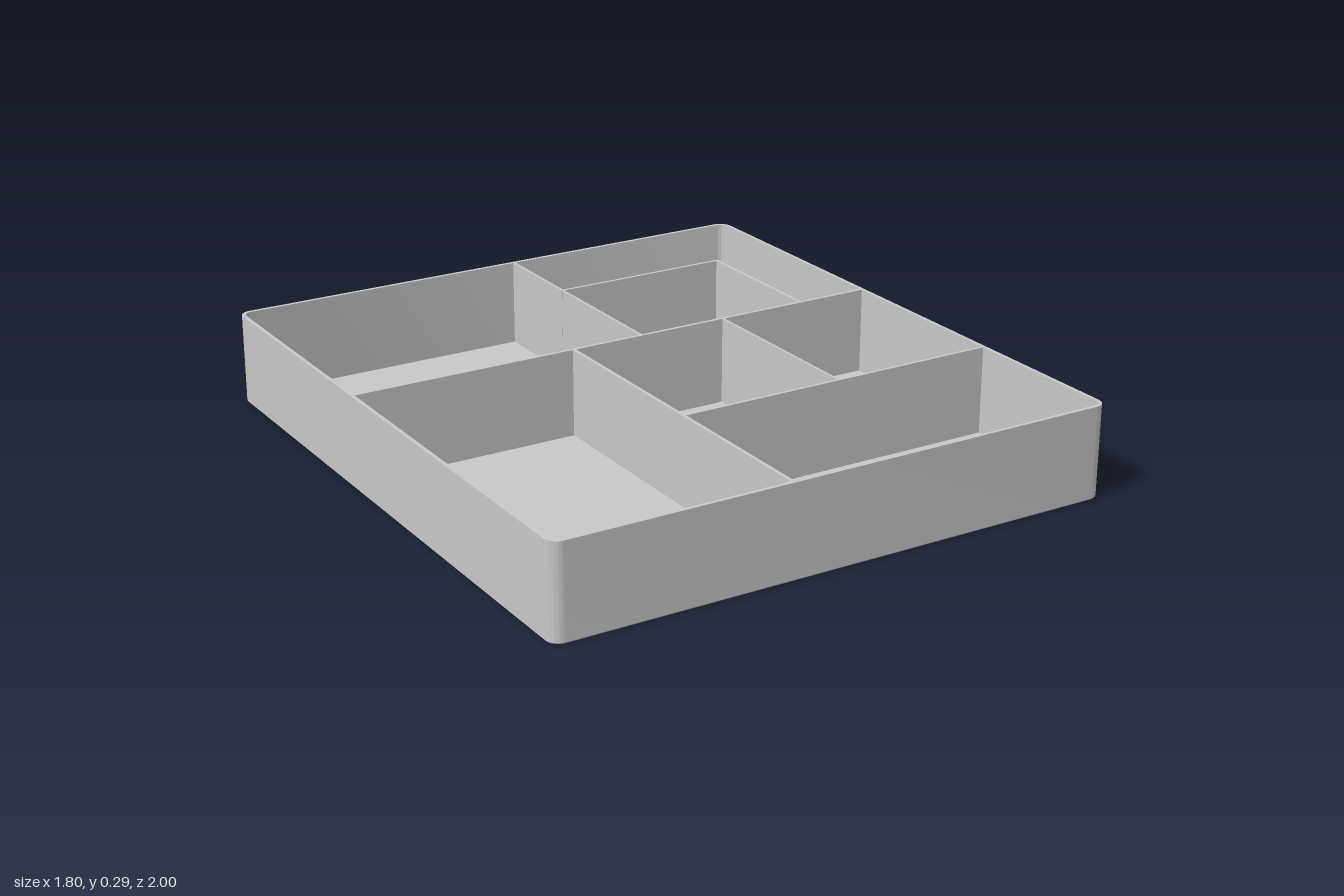
import * as THREE from 'three';
import { toCreasedNormals } from 'three/addons/utils/BufferGeometryUtils.js';

const HALF_X = 0.902, HALF_Z = 1, HEIGHT = 0.288;
const WALL = 0.012, RADIUS = 0.04, FLOOR = 0.012;

// Rounded rectangle centred on the origin, shrunk by an inset
function roundedRect(inset, PathClass) {
  const x = HALF_X - inset, z = HALF_Z - inset, r = RADIUS - inset;
  const p = new PathClass();
  p.absarc(x - r, z - r, r, 0, Math.PI / 2);
  p.absarc(-x + r, z - r, r, Math.PI / 2, Math.PI);
  p.absarc(-x + r, -z + r, r, Math.PI, Math.PI * 1.5);
  p.absarc(x - r, -z + r, r, Math.PI * 1.5, Math.PI * 2);
  p.closePath();
  return p;
}

// Extrude a plan upward
function extrudeUp(shape, options) {
  const g = new THREE.ExtrudeGeometry(shape, { curveSegments: 10, ...options });
  g.rotateX(-Math.PI / 2);
  return toCreasedNormals(g, 0.5);
}

export function createModel() {
  const tray = new THREE.Group();
  tray.name = 'dividedTray';
  const grey = new THREE.MeshStandardMaterial({ color: 0xc8c8c8 });
  grey.name = 'light grey';

  const add = (name, geometry, x = 0, y = 0, z = 0) => {
    const mesh = new THREE.Mesh(geometry, grey);
    mesh.name = name;
    mesh.position.set(x, y, z);
    tray.add(mesh);
  };

  // Floor with a fine eased lower edge
  const ease = 0.005;
  add('floor', extrudeUp(roundedRect(0, THREE.Shape), {
    depth: FLOOR - 2 * ease, bevelEnabled: true, bevelSegments: 1,
    bevelSize: ease, bevelThickness: ease, bevelOffset: -ease,
  }), 0, ease, 0);

  // Outer wall ring with rounded corners
  const ring = roundedRect(0, THREE.Shape);
  ring.holes.push(roundedRect(WALL, THREE.Path));
  const base = FLOOR - ease;
  add('outerWall', extrudeUp(ring, { depth: HEIGHT - base, bevelEnabled: false }), 0, base, 0);

  // Dividers: name, start x, start z, end x, end z, thickness
  const edgeX = HALF_X - WALL / 2, edgeZ = HALF_Z - WALL / 2;
  const dividers = [
    ['mainDivider', -edgeX, -0.174, edgeX, -0.174, 0.011],
    ['backDivider', 0.07, -edgeZ, 0.07, -0.174, 0.009],
    ['cornerDividerBack', 0.07, -0.663, 0.656, -0.663, 0.01],
    ['cornerDividerSide', 0.656, -0.663, 0.656, -0.174, 0.01],
    ['frontDivider', -0.168, -0.174, -0.168, edgeZ, 0.011],
    ['crossDivider', -0.168, 0.447, edgeX, 0.447, 0.01],
    ['smallDivider', 0.363, -0.174, 0.363, 0.447, 0.008],
  ];
  const low = FLOOR / 2;
  for (const [name, x0, z0, x1, z1, t] of dividers) {
    const box = new THREE.BoxGeometry(x1 - x0 + t, HEIGHT - low, z1 - z0 + t);
    add(name, box, (x0 + x1) / 2, (HEIGHT + low) / 2, (z0 + z1) / 2);
  }
  return tray;
}
